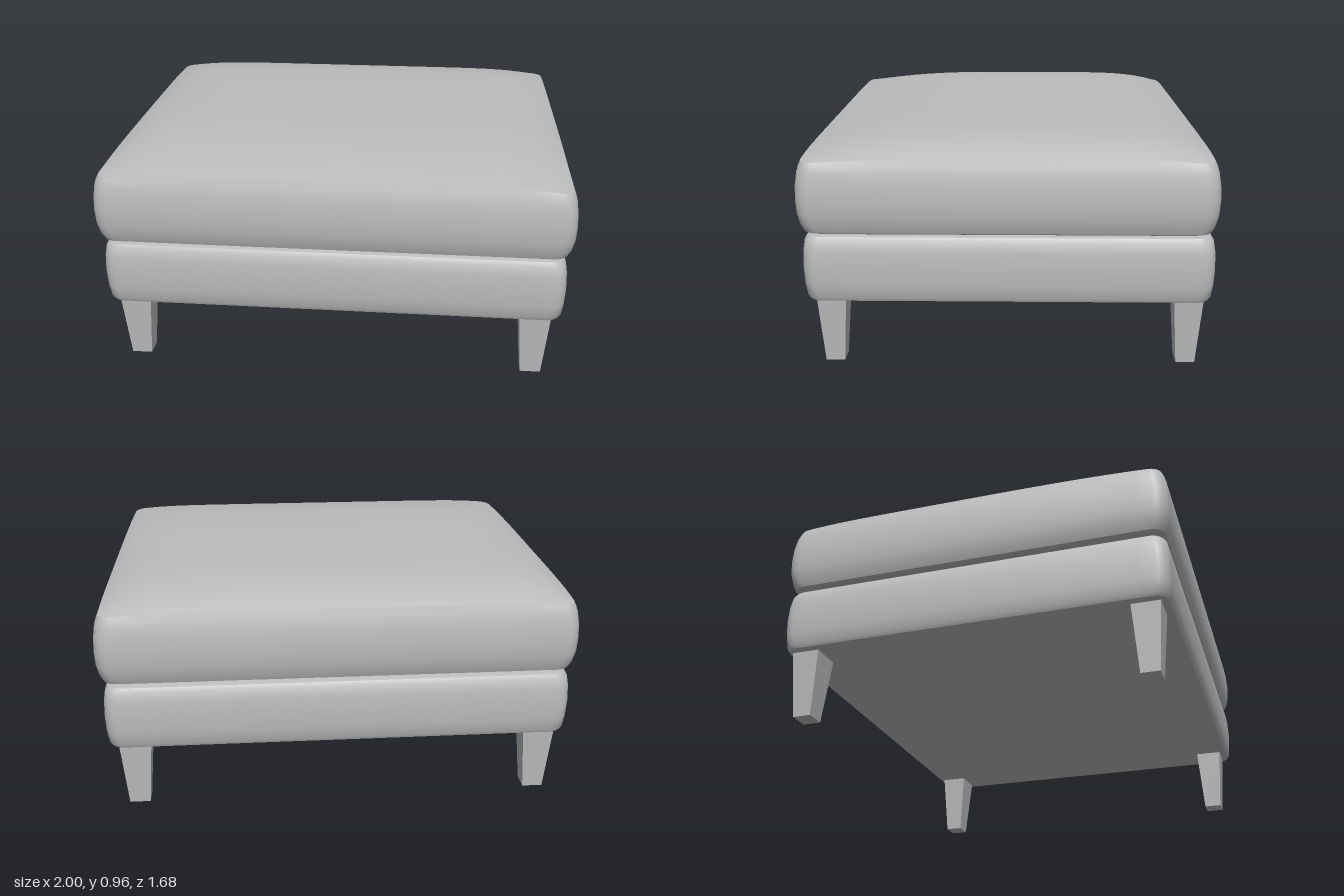
import * as THREE from 'three';
import { toCreasedNormals } from 'three/addons/utils/BufferGeometryUtils.js';

// Rounded rectangle outline as [x, z] points, with subdivided sides
function outline(w, d, r, sideSteps = 24, arcSteps = 6) {
  const corners = [[1, 1], [-1, 1], [-1, -1], [1, -1]].map(([sx, sz], k) => {
    const arc = [];
    for (let i = 0; i <= arcSteps; i++) {
      const a = (k + i / arcSteps) * Math.PI / 2;
      arc.push([sx * (w - r) + r * Math.cos(a), sz * (d - r) + r * Math.sin(a)]);
    }
    return arc;
  });
  const points = [];
  corners.forEach((arc, k) => {
    points.push(...arc);
    const a = arc[arcSteps], b = corners[(k + 1) % 4][0];
    for (let i = 1; i < sideSteps; i++) {
      const t = i / sideSteps;
      points.push([a[0] + (b[0] - a[0]) * t, a[1] + (b[1] - a[1]) * t]);
    }
  });
  return points;
}

// Closed skin over rings of [x, y, z] points, listed from bottom to top
function loft(rings, bottomY, topY) {
  const n = rings[0].length, last = (rings.length - 1) * n;
  const pos = rings.flat(2), index = [];
  const bottom = rings.length * n, top = bottom + 1;
  pos.push(0, bottomY, 0, 0, topY, 0);
  for (let j = 0; j < n; j++) {
    const k = (j + 1) % n;
    index.push(bottom, j, k, last + j, top, last + k);
    for (let i = 0; i < last; i += n) {
      index.push(i + j, i + n + k, i + k, i + j, i + n + j, i + n + k);
    }
  }
  const geo = new THREE.BufferGeometry();
  geo.setAttribute('position', new THREE.Float32BufferAttribute(pos, 3));
  geo.setIndex(index);
  return toCreasedNormals(geo, 0.6);
}

// Rings for an upholstered side wall given as [inset, y] steps
const wall = (w, d, r, profile) => profile.map(([inset, y]) =>
  outline(w - inset, d - inset, r).map(([x, z]) => [x, y, z]));

export function createModel() {
  const group = new THREE.Group();
  const fabric = new THREE.MeshStandardMaterial({ color: 0xbcbcbc });
  fabric.name = 'grey upholstery';

  const add = (name, geo) => {
    const mesh = new THREE.Mesh(geo, fabric);
    mesh.name = name;
    group.add(mesh);
    return mesh;
  };

  // Base frame with softly bulging sides
  const base = wall(0.98, 0.833, 0.055, [
    [0.035, 0.287], [0.018, 0.29], [0.01, 0.305], [0.003, 0.36], [0, 0.43],
    [0.003, 0.5], [0.01, 0.545], [0.02, 0.562], [0.045, 0.57], [0.1, 0.571],
  ]);
  add('base', loft(base, 0.287, 0.571)).position.z = -0.005;

  // Seat cushion: bulging sides, then a crowned top that is fuller at the back
  const cushion = wall(1, 0.842, 0.06, [
    [0.1, 0.571], [0.045, 0.573], [0.025, 0.582], [0.013, 0.61], [0.003, 0.66],
    [0, 0.72], [0.003, 0.78], [0.01, 0.83], [0.017, 0.855],
  ]);
  const w = 0.974, d = 0.816;
  const crown = (x, z) => {
    const f = 1 - Math.min(1, Math.abs(x / w)) ** 8;
    const g = 1 - Math.min(1, Math.abs(z / d)) ** (z > 0 ? 3 : 6);
    return 0.868 + 0.088 * (0.6 * f * g + 0.2 * (f + g));
  };
  const rim = outline(w, d, 0.05);
  for (const s of [1, 0.985, 0.965, 0.935, 0.9, 0.85, 0.78, 0.68, 0.56, 0.42, 0.28, 0.12]) {
    cushion.push(rim.map(([x, z]) => [x * s, crown(x * s, z * s), z * s]));
  }
  add('cushion', loft(cushion, 0.571, crown(0, 0)));

  // Four tapered square legs
  const legGeo = new THREE.BoxGeometry(0.136, 0.3, 0.122);
  const p = legGeo.attributes.position;
  for (let i = 0; i < p.count; i++) {
    if (p.getY(i) < 0) p.setXYZ(i, p.getX(i) * 0.64, p.getY(i), p.getZ(i) * 0.64);
  }
  legGeo.computeVertexNormals();
  for (const [sideName, x] of [['Left', 0.863], ['Right', -0.863]]) {
    for (const [endName, z] of [['front', 0.722], ['back', -0.74]]) {
      add(`${endName}${sideName}Leg`, legGeo).position.set(x, 0.15, z);
    }
  }
  return group;
}
